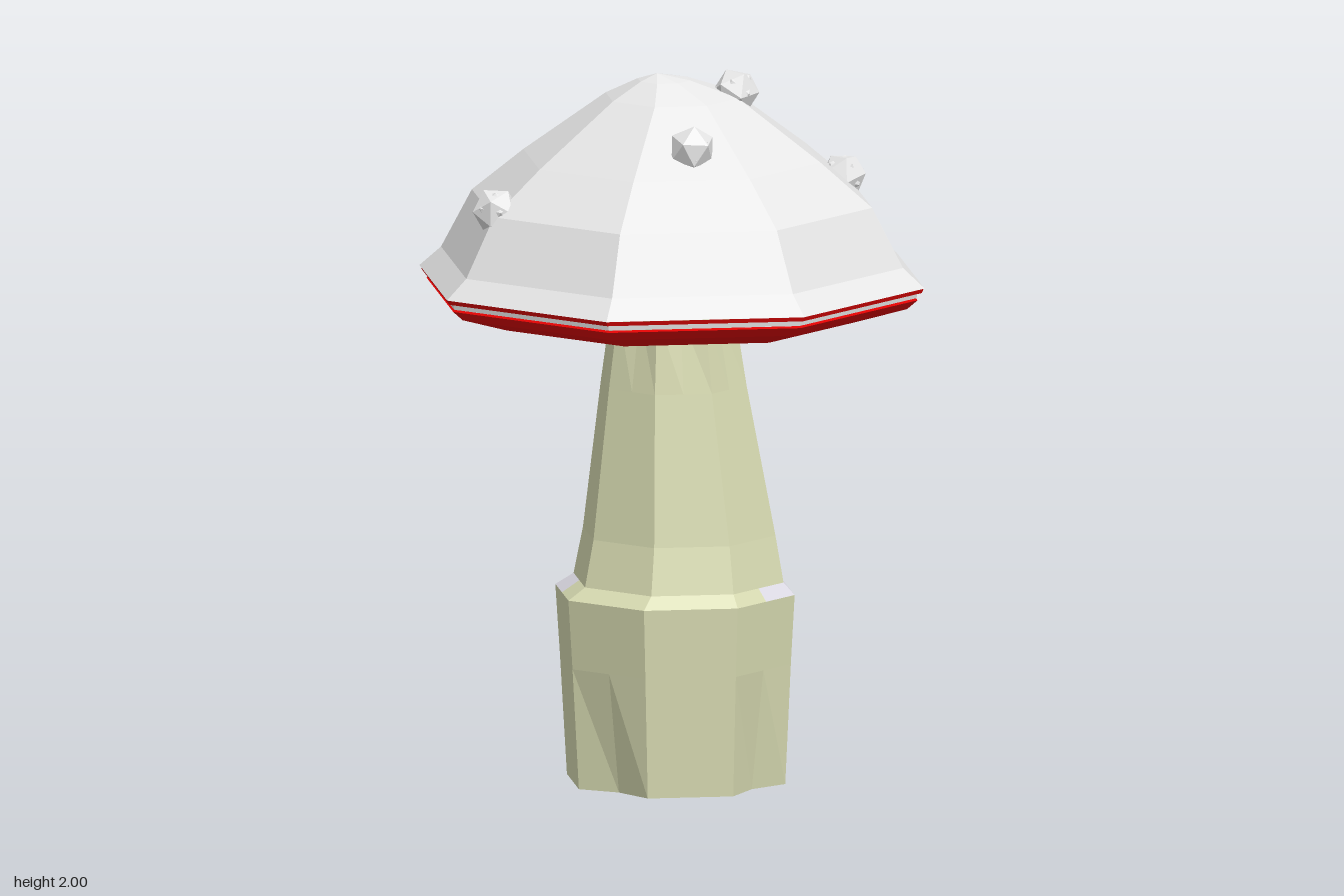
import * as THREE from 'three';

const material = (name, color, side = THREE.FrontSide) => {
  const m = new THREE.MeshStandardMaterial({ color, side, flatShading: true });
  m.name = name;
  return m;
};

// Ring of points; notch(i) scales the midpoint of side i inwards
function ring(y, r, cx = 0, cz = 0, notch = () => 1) {
  const corner = (i) => {
    const a = (i * Math.PI) / 4;
    return new THREE.Vector3(Math.cos(a) * r, 0, Math.sin(a) * r);
  };
  const points = [];
  for (let i = 0; i < 8; i++) {
    points.push(corner(i), corner(i).add(corner(i + 1)).multiplyScalar(0.5 * notch(i)));
  }
  return points.map((p) => p.add(new THREE.Vector3(cx, y, cz)));
}

// Joins rings from bottom to top; pick(level, segment) selects a material index
function loft(name, rings, materials, pick = () => 0) {
  const buckets = materials.map(() => []);
  for (let l = 0; l < rings.length - 1; l++) {
    for (let i = 0; i < 16; i++) {
      const j = (i + 1) % 16;
      const [a, b, c, d] = [rings[l][i], rings[l + 1][i], rings[l + 1][j], rings[l][j]];
      for (const p of [a, b, c, a, c, d]) buckets[pick(l, i)].push(p.x, p.y, p.z);
    }
  }
  const geometry = new THREE.BufferGeometry();
  geometry.setAttribute('position', new THREE.Float32BufferAttribute(buckets.flat(), 3));
  let start = 0;
  buckets.forEach((b, k) => {
    geometry.addGroup(start, b.length / 3, k);
    start += b.length / 3;
  });
  geometry.computeVertexNormals();
  const mesh = new THREE.Mesh(geometry, materials);
  mesh.name = name;
  return mesh;
}

export function createModel() {
  const group = new THREE.Group();
  group.name = 'mushroom';
  const white = material('capWhite', 0xe7e7e7);
  const red = material('gillRed', 0xe00303);
  const cream = material('stemCream', 0xd9dcb3, THREE.DoubleSide);
  const pale = material('ledgePale', 0xe2e0ea, THREE.DoubleSide);

  // Hollow stem with notched foot, swollen base, ledge and slightly leaning neck
  const footNotch = (i) => (i % 2 === 0 ? 0.91 : 1);
  const stem = [
    ring(0, 0.312, 0, -0.045, footNotch),
    ring(0.34, 0.33, 0, -0.037),
    ring(0.535, 0.342, 0, -0.033),
    ring(0.57, 0.3, 0.012, -0.026),
    ring(0.7, 0.275, 0.012, -0.033),
    ring(1.12, 0.208, 0, -0.02),
    ring(1.34, 0.175, 0, -0.01, () => 0.94),
  ];
  // The ledge is pale around the back and fades out towards the front
  const isPale = (l, i) => l === 2 && (i === 0 || i >= 7);
  group.add(loft('stem', stem, [cream, pale], (l, i) => (isPale(l, i) ? 1 : 0)));

  // Red underside
  group.add(loft('gills', [
    ring(1.318, 0), ring(1.318, 0.53), ring(1.36, 0.672), ring(1.386, 0.702), ring(1.39, 0.69),
  ], [red]));

  // Thin layered rim between gills and cap
  group.add(loft('rimWhite', [ring(1.388, 0.67), ring(1.392, 0.699), ring(1.406, 0.701)], [white]));
  group.add(loft('rimRed', [ring(1.405, 0.68), ring(1.407, 0.714), ring(1.419, 0.719)], [red]));

  // Faceted cap with a slightly off-centre peak
  group.add(loft('cap', [
    ring(1.419, 0.69),
    ring(1.42, 0.722),
    ring(1.475, 0.66),
    ring(1.64, 0.572),
    ring(1.76, 0.425),
    ring(1.93, 0.19),
    ring(1.98, 0.075, -0.015, 0.03),
    ring(2, 0, -0.03, 0.05),
  ], [white]));

  // Rough warts, each two overlapping crystals
  const warts = [
    [-0.41, 1.65, 0.36], [0.13, 1.835, 0.28], [0.17, 1.94, -0.05],
    [0.42, 1.675, -0.27], [-0.23, 1.655, -0.48],
  ];
  warts.forEach(([x, y, z], k) => {
    const wart = new THREE.Group();
    wart.name = 'wart' + (k + 1);
    wart.position.set(x, y, z);
    for (let n = 0; n < 2; n++) {
      const crystal = new THREE.Mesh(new THREE.IcosahedronGeometry(0.067 - n * 0.007, 0), white);
      crystal.name = 'crystal';
      crystal.rotation.set(k * 0.7 + n * 0.5, k * 1.3 + n * 0.8, n * 0.4);
      wart.add(crystal);
    }
    group.add(wart);
  });
  return group;
}
